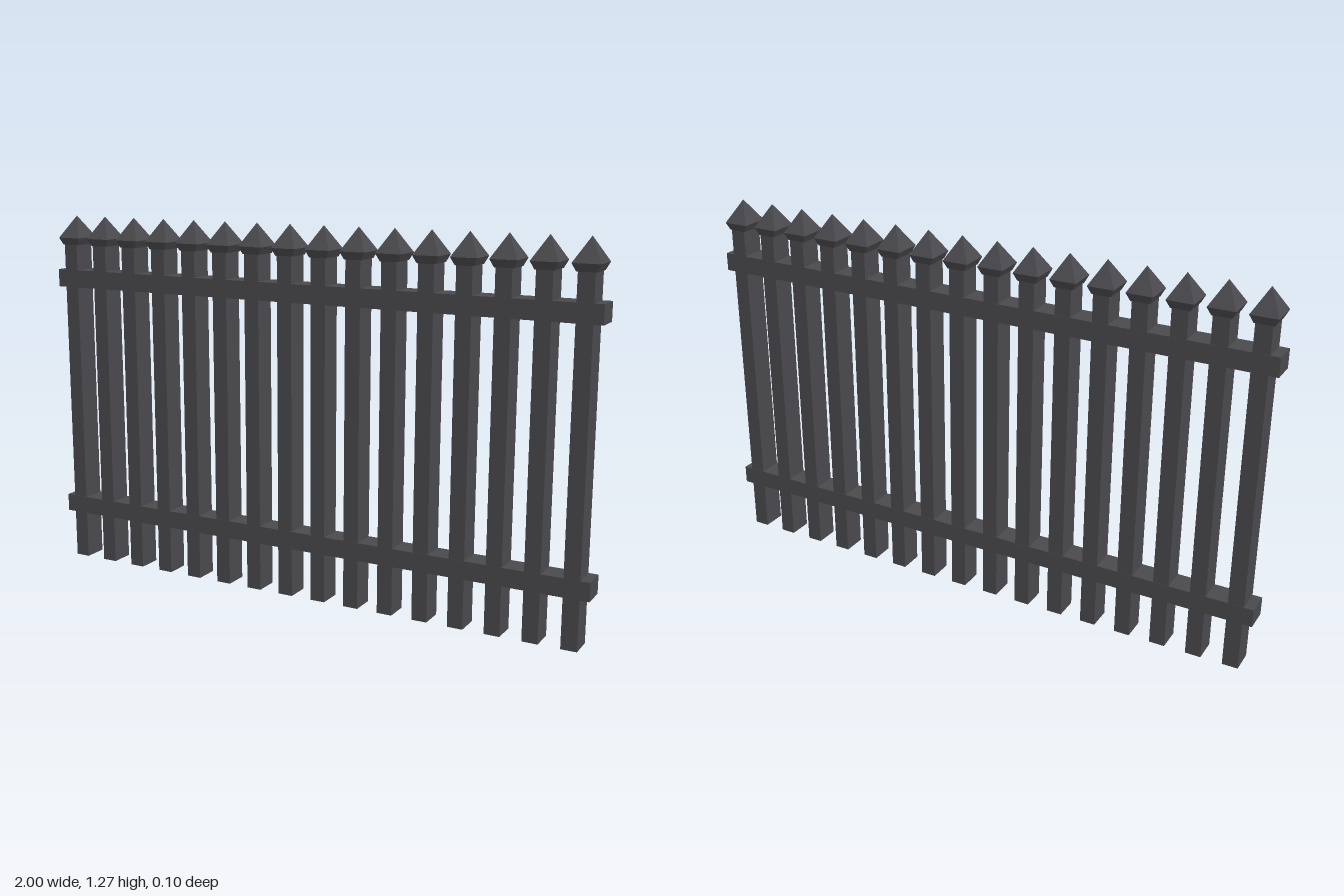
import * as THREE from 'three';

const PICKETS = 16;
const SPAN = 1.884; // distance between the first and last picket centres

// Four-sided frustum with unit half-widths at the wide end, standing on y = 0
function frustum(topHalf, bottomHalf, height) {
  const g = new THREE.CylinderGeometry(topHalf * Math.SQRT2, bottomHalf * Math.SQRT2, height, 4);
  g.rotateY(Math.PI / 4);
  g.translate(0, height / 2, 0);
  return g;
}

export function createModel() {
  const model = new THREE.Group();
  model.name = 'fence';
  const iron = new THREE.MeshStandardMaterial({ color: 0x4a4a4e, flatShading: true });
  iron.name = 'darkIron';

  const add = (parent, geometry, name, y) => {
    const mesh = new THREE.Mesh(geometry, iron);
    mesh.name = name;
    mesh.position.y = y;
    parent.add(mesh);
  };

  // Shared picket geometries
  const shaft = new THREE.BoxGeometry(0.053, 1.17, 0.083);
  const collar = frustum(1, 0.84, 0.025).scale(0.044, 1, 0.05);
  // Narrow the collar's lower rim to meet the shaft
  const p = collar.attributes.position;
  for (let i = 0; i < p.count; i++) {
    if (p.getY(i) < 0.01) p.setX(i, p.getX(i) * 0.85);
  }
  const tip = frustum(0, 1, 0.077).scale(0.044, 1, 0.05);

  // Row of pickets with pointed caps
  for (let i = 0; i < PICKETS; i++) {
    const picket = new THREE.Group();
    picket.name = `picket${i + 1}`;
    picket.position.x = -SPAN / 2 + (SPAN * i) / (PICKETS - 1);
    add(picket, shaft, 'shaft', 0.585);
    add(picket, collar, 'capCollar', 1.165);
    add(picket, tip, 'capPoint', 1.19);
    model.add(picket);
  }

  // Horizontal rails
  const rail = new THREE.BoxGeometry(2, 0.062, 0.085);
  add(model, rail, 'lowerRail', 0.2);
  add(model, rail, 'upperRail', 1.045);

  return model;
}
